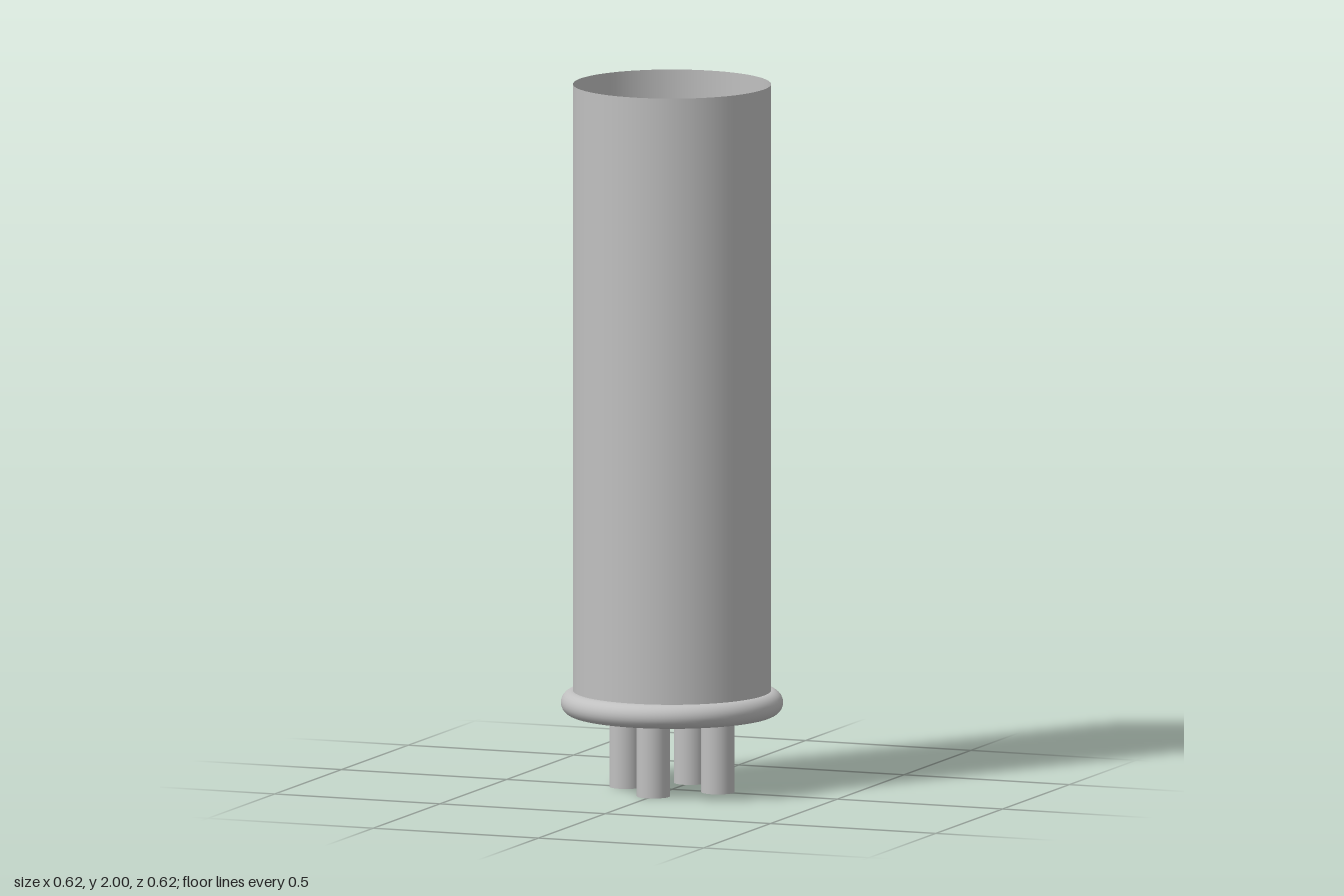
import * as THREE from 'three';

export function createModel() {
  const model = new THREE.Group();
  model.name = 'tubeWithPins';
  const grey = new THREE.MeshStandardMaterial({ color: 0xc0c0c0, side: THREE.DoubleSide });
  grey.name = 'light grey';

  const radius = 0.278, ringY = 0.247, floorY = 0.268, topY = 2;

  function add(geometry, name, x, y, z) {
    const mesh = new THREE.Mesh(geometry, grey);
    mesh.name = name;
    mesh.position.set(x, y, z);
    model.add(mesh);
    return mesh;
  }

  // Open thin-walled tube
  const height = topY - ringY;
  add(new THREE.CylinderGeometry(radius, radius, height, 64, 1, true), 'tubeWall', 0, ringY + height / 2, 0);

  // Rounded ring at the foot of the tube
  add(new THREE.TorusGeometry(radius, 0.034, 24, 64).rotateX(Math.PI / 2), 'baseRing', 0, ringY, 0);

  // Floor plate set inside the ring
  add(new THREE.CircleGeometry(radius, 64).rotateX(-Math.PI / 2), 'floor', 0, floorY, 0);

  // Four pins, reaching just through the floor
  const pinHeight = floorY + 0.004;
  const pinGeometry = new THREE.CylinderGeometry(0.047, 0.047, pinHeight, 32);
  for (let i = 0; i < 4; i++) {
    const a = i * Math.PI / 2;
    add(pinGeometry, 'pin' + (i + 1), 0.139 * Math.cos(a), pinHeight / 2, 0.139 * Math.sin(a));
  }
  return model;
}
